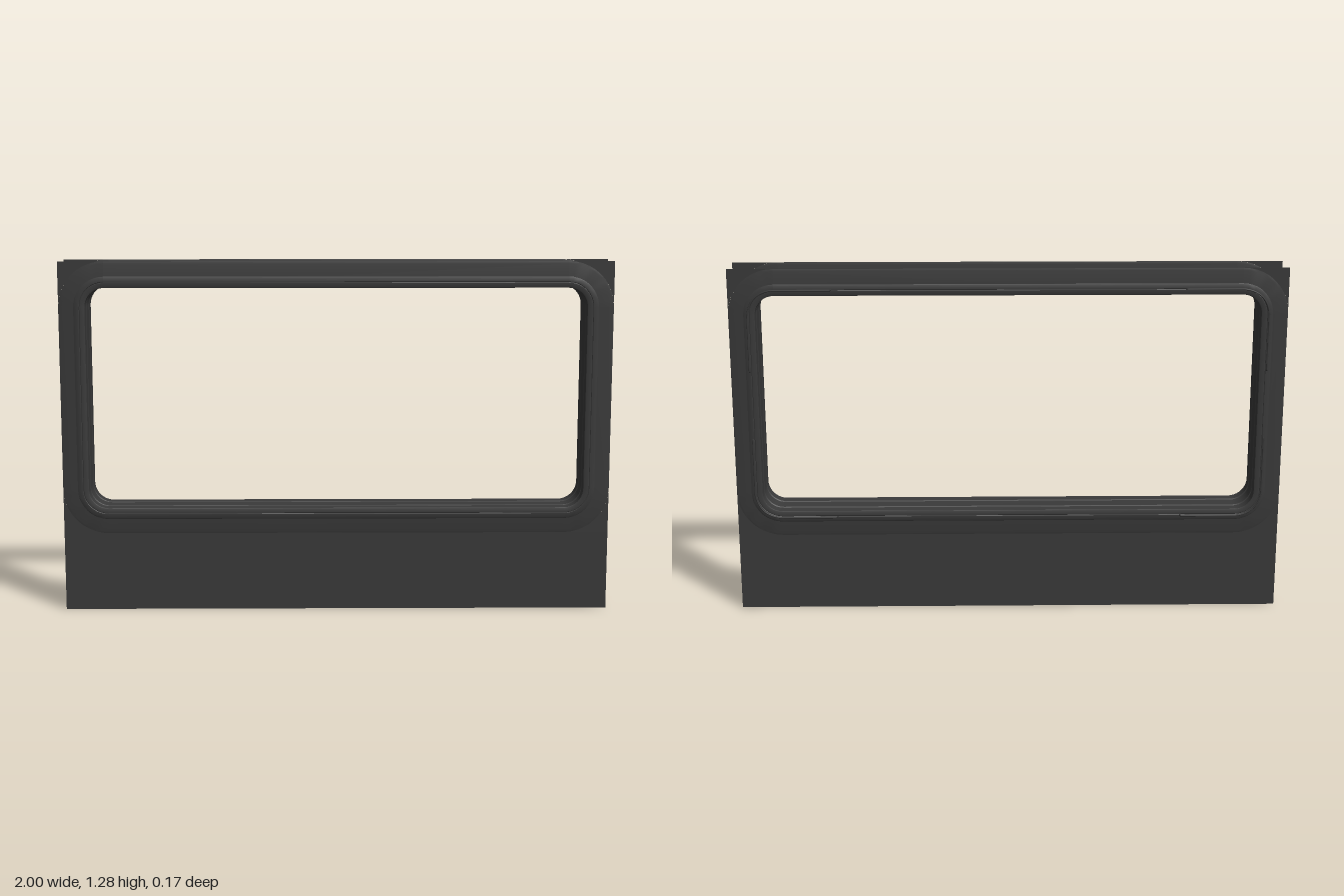
import * as THREE from 'three';
import { toCreasedNormals } from 'three/addons/utils/BufferGeometryUtils.js';

// Window opening: half width, half height, corner radius
const HW = 0.905, HH = 0.4025, R = 0.07;
const CENTER_Y = 0.785, CENTER_Z = 0.0065;
const RIM = 0.095; // distance from the opening to the panel edge
const PANEL_Z = 0.071;

const dark = new THREE.MeshStandardMaterial({ color: 0x3a3a3a, side: THREE.DoubleSide });

function addMesh(parent, name, geometry) {
  const mesh = new THREE.Mesh(geometry, dark);
  mesh.name = name;
  parent.add(mesh);
  return mesh;
}

// Sweeps a profile of [offset from opening, z] around the rounded opening
function sweepAround(profile, closed) {
  const steps = 10, around = [];
  [[1, 1], [-1, 1], [-1, -1], [1, -1]].forEach(([sx, sy], q) => {
    for (let i = 0; i <= steps; i++) {
      const a = (q + i / steps) * Math.PI / 2;
      around.push([sx * (HW - R), sy * (HH - R), Math.cos(a), Math.sin(a)]);
    }
  });
  const positions = [], index = [];
  const n = profile.length, m = around.length;
  for (const [cx, cy, nx, ny] of around) {
    for (const [d, z] of profile) positions.push(cx + nx * (R + d), cy + ny * (R + d), z);
  }
  for (let i = 0; i < m; i++) {
    for (let j = 0; j < (closed ? n : n - 1); j++) {
      const i2 = (i + 1) % m, j2 = (j + 1) % n;
      const a = i * n + j, b = i2 * n + j, c = i2 * n + j2, d = i * n + j2;
      index.push(a, b, c, a, c, d);
    }
  }
  const geometry = new THREE.BufferGeometry();
  geometry.setAttribute('position', new THREE.Float32BufferAttribute(positions, 3));
  geometry.setIndex(index);
  return toCreasedNormals(geometry, 0.5);
}

// Flat piece between a square panel corner and the rounded rim
function cornerFiller() {
  const r = R + RIM, x = HW + RIM, y = HH + RIM;
  const shape = new THREE.Shape();
  shape.moveTo(x, y - r);
  shape.lineTo(x, y);
  shape.lineTo(x - r, y);
  shape.absarc(x - r, y - r, r, Math.PI / 2, 0, true);
  return new THREE.ShapeGeometry(shape, 10);
}

// Wall panel: s = 1 for the front one, -1 for the back one
function makePanel(s) {
  const panel = new THREE.Group();
  panel.name = s > 0 ? 'frontPanel' : 'backPanel';
  const rim = [[0, 0.068], [RIM - 0.008, 0.068], [RIM, 0.07], [RIM, 0.072], [RIM - 0.008, 0.074], [0, 0.074]];
  addMesh(panel, 'panelRim', sweepAround(rim.map(([d, z]) => [d, s * z]), true));

  const bottom = -HH - RIM, height = CENTER_Y + bottom;
  const lower = new THREE.PlaneGeometry(2 * (HW + RIM), height);
  if (s < 0) lower.rotateY(Math.PI);
  addMesh(panel, 'lowerPanel', lower).position.set(0, bottom - height / 2, s * PANEL_Z);

  for (const sx of [1, -1]) for (const sy of [1, -1]) {
    const corner = addMesh(panel, 'panelCorner', cornerFiller());
    corner.scale.set(sx, sy, 1);
    corner.position.z = s * PANEL_Z;
  }
  return panel;
}

// Thin L-shaped clip that stands off the back flange around one corner
function clipGeometry() {
  const x = 0.93, y = 0.424, r = 0.09, len = 0.297, z0 = -0.076, z1 = -0.091;
  const v = (a, b, c) => new THREE.Vector3(a, b, c);
  const path = new THREE.CurvePath();
  path.add(new THREE.LineCurve3(v(x - len, y, z0), v(x - len, y, z1)));
  path.add(new THREE.LineCurve3(v(x - len, y, z1), v(x - r, y, z1)));
  path.add(new THREE.QuadraticBezierCurve3(v(x - r, y, z1), v(x - 0.01, y - 0.01, z1), v(x, y - r, z1)));
  path.add(new THREE.LineCurve3(v(x, y - r, z1), v(x, y - len, z1)));
  path.add(new THREE.LineCurve3(v(x, y - len, z1), v(x, y - len, z0)));
  return new THREE.TubeGeometry(path, 120, 0.003, 6, false);
}

export function createModel() {
  const model = new THREE.Group();
  model.name = 'windowFrame';
  const body = new THREE.Group();
  body.name = 'frameBody';
  body.position.set(0, CENTER_Y, CENTER_Z);
  model.add(body);

  // Reveal lining with a shallow ridge at each fin
  const lining = [
    [0, 0.079], [0, 0.04], [0.006, 0.034], [0, 0.028],
    [0, -0.028], [0.006, -0.034], [0, -0.04], [0, -0.079],
  ];
  addMesh(body, 'revealLining', sweepAround(lining, false));

  // Raised flange with a stepped face
  const flange = [
    [0, 0.074], [0.04, 0.074], [0.0405, 0.078], [0.037, 0.08],
    [0.022, 0.0805], [0.02, 0.079], [0.018, 0.0805], [0.003, 0.0805], [0, 0.079],
  ];

  for (const s of [1, -1]) {
    body.add(makePanel(s));
    addMesh(body, s > 0 ? 'frontFlange' : 'backFlange',
      sweepAround(flange.map(([d, z]) => [d, s * z]), true));
    addMesh(body, 'fin', sweepAround([[0.004, s * 0.034], [0.04, s * 0.034]], false));
  }

  const clip = clipGeometry();
  for (const sx of [1, -1]) for (const sy of [1, -1]) {
    addMesh(body, 'cornerClip', clip).scale.set(sx, sy, 1);
  }
  return model;
}
